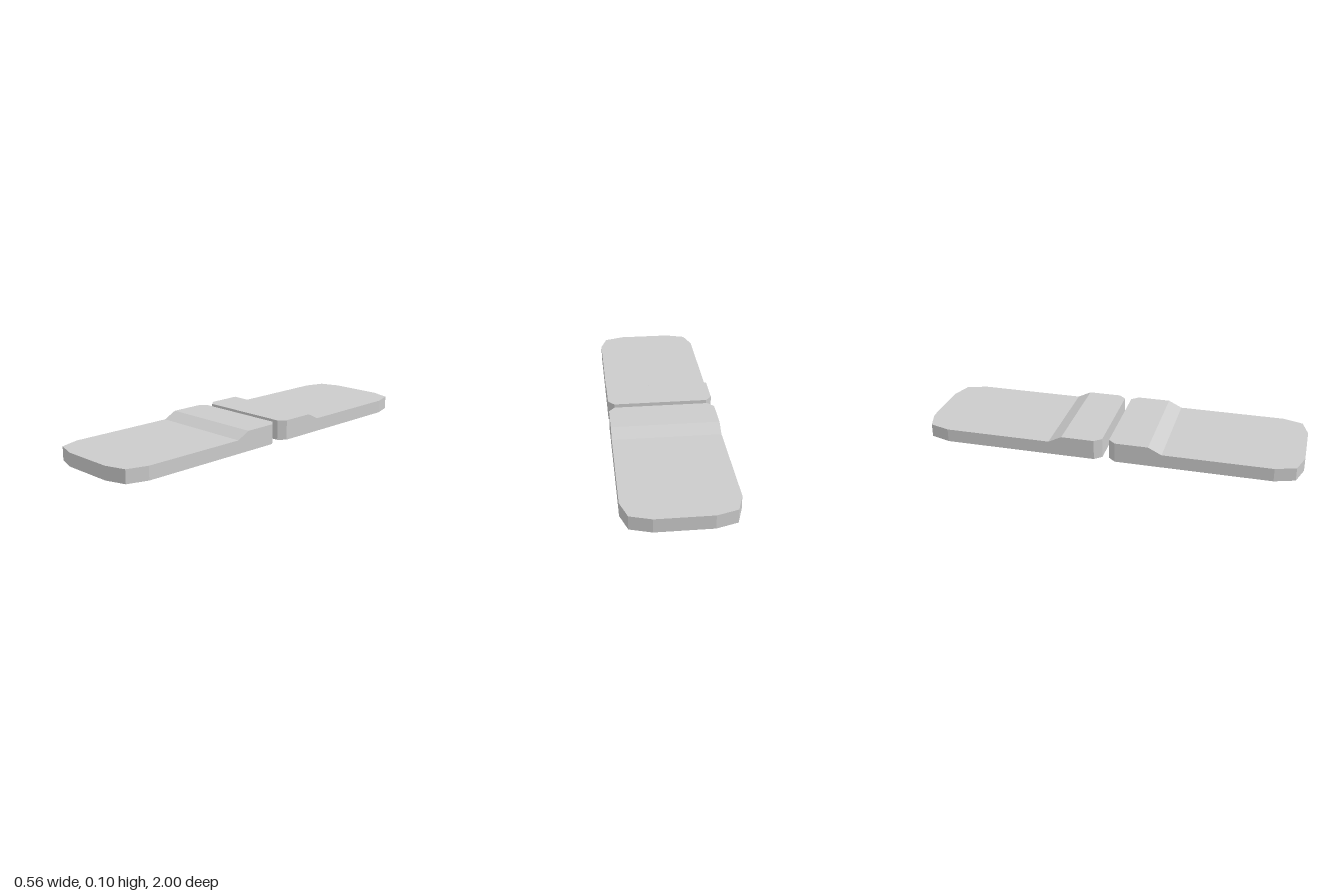
import * as THREE from 'three';

// Cross-sections of one pad from the hinge gap outward: [z, half width, height]
const SECTIONS = [
  [0.018, 0.248, 0.105],
  [0.055, 0.28, 0.105],
  [0.228, 0.28, 0.105],
  [0.298, 0.28, 0.07],
  [0.86, 0.28, 0.07],
  [0.966, 0.246, 0.07],
  [1.0, 0.14, 0.07],
];

// Lofts rectangular sections standing on y = 0 into a closed, faceted solid
function loftGeometry(sections) {
  const rings = sections.map(([z, w, h]) => [[-w, 0, z], [w, 0, z], [w, h, z], [-w, h, z]]);
  const positions = [];
  const quad = (a, b, c, d) => positions.push(...a, ...b, ...c, ...a, ...c, ...d);
  for (let i = 0; i < rings.length - 1; i++) {
    for (let j = 0; j < 4; j++) {
      const k = (j + 1) % 4;
      quad(rings[i][j], rings[i][k], rings[i + 1][k], rings[i + 1][j]);
    }
  }
  const first = rings[0], last = rings[rings.length - 1];
  quad(first[3], first[2], first[1], first[0]);
  quad(...last);
  const geometry = new THREE.BufferGeometry();
  geometry.setAttribute('position', new THREE.Float32BufferAttribute(positions, 3));
  geometry.computeVertexNormals();
  return geometry;
}

export function createModel() {
  const group = new THREE.Group();
  group.name = 'splitPad';
  const material = new THREE.MeshStandardMaterial({ color: 0xcccccc, flatShading: true });
  const geometry = loftGeometry(SECTIONS);

  // Two matching pads, the rear one turned about
  ['frontPad', 'backPad'].forEach((name, i) => {
    const pad = new THREE.Mesh(geometry, material);
    pad.name = name;
    pad.rotation.y = i * Math.PI;
    group.add(pad);
  });
  return group;
}
